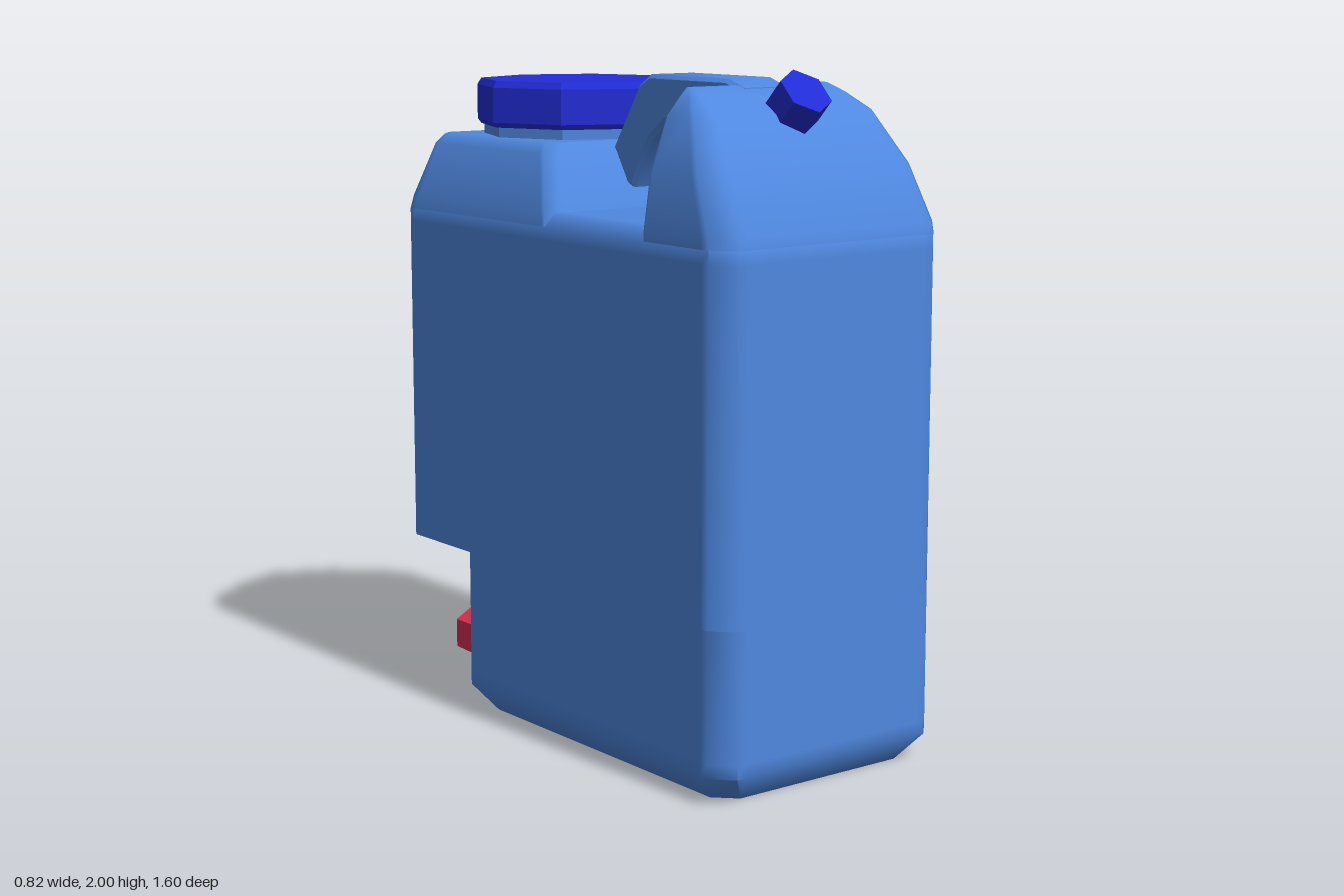
import * as THREE from 'three';
import { toCreasedNormals } from 'three/addons/utils/BufferGeometryUtils.js';

const mat = (name, color) => {
  const m = new THREE.MeshStandardMaterial({ color });
  m.name = name;
  return m;
};

// Cuts every corner of an [x, z, cut] outline, with a support point on each side
function chamfer(corners) {
  const out = [];
  corners.forEach(([x, z, c], i) => {
    const n = corners.length;
    const toward = (q, d) => {
      const l = Math.hypot(q[0] - x, q[1] - z);
      return [x + ((q[0] - x) / l) * d, z + ((q[1] - z) / l) * d];
    };
    const a = corners[(i + n - 1) % n], b = corners[(i + 1) % n];
    out.push(toward(a, c * 1.5), toward(a, c), toward(b, c), toward(b, c * 1.5));
  });
  return out;
}

// Rectangle from z0 (back) to z1 (front)
const rect = (w, z1, z0, cf, cb) =>
  chamfer([[w, z1, cf], [w, z0, cb], [-w, z0, cb], [-w, z1, cf]]);

// Joins horizontal outlines [y, points] and closes the ends
function loft(rows, capBottom, capTop) {
  const pos = [];
  const tri = (...v) => v.forEach((p) => pos.push(...p));
  const at = ([y, pts], i) => {
    const p = pts[i % pts.length];
    return [p[0], y, p[1]];
  };
  for (let r = 0; r < rows.length - 1; r++) {
    for (let i = 0; i < rows[r][1].length; i++) {
      const a = at(rows[r], i), b = at(rows[r], i + 1);
      const c = at(rows[r + 1], i + 1), d = at(rows[r + 1], i);
      tri(a, b, c);
      tri(a, c, d);
    }
  }
  const cap = (row, up) => {
    const flat = row[1].map((p) => new THREE.Vector2(p[0], p[1]));
    for (const [i, j, k] of THREE.ShapeUtils.triangulateShape(flat, [])) {
      const a = at(row, i), b = at(row, j), c = at(row, k);
      const ny = (b[2] - a[2]) * (c[0] - a[0]) - (b[0] - a[0]) * (c[2] - a[2]);
      if (ny > 0 === up) tri(a, b, c);
      else tri(a, c, b);
    }
  };
  if (capBottom) cap(rows[0], false);
  if (capTop) cap(rows[rows.length - 1], true);
  const g = new THREE.BufferGeometry();
  g.setAttribute('position', new THREE.Float32BufferAttribute(pos, 3));
  return toCreasedNormals(g, 1.0);
}

export function createModel() {
  const group = new THREE.Group();
  const blue = mat('body blue', 0x4f88e0);
  const navy = mat('cap blue', 0x222cd6);
  const brass = mat('pale brass', 0xd8dc8c);
  const red = mat('tap red', 0xd83050);
  const add = (name, geo, material, parent = group) => {
    const m = new THREE.Mesh(geo, material);
    m.name = name;
    parent.add(m);
    return m;
  };
  const faceted = (g) => toCreasedNormals(g, 0.3);

  // Lower tank, with one back corner cut out for the tap
  const plan = (d) => chamfer([
    [0.41 - d, 0.8 - d, 0.06], [0.41 - d, -0.8 + d, 0.06],
    [d, -0.8 + d, 0.02], [d, -0.45 + d, 0.02],
    [-0.41 + d, -0.45 + d, 0.02], [-0.41 + d, 0.8 - d, 0.06],
  ]);
  add('lowerTank', loft([
    [0, plan(0.09)], [0, plan(0.06)], [0.08, plan(0)], [0.12, plan(0)], [0.5, plan(0)],
  ], true, false), blue);

  // Upper tank, closed by the floor under the handle
  const full = (d) => rect(0.41 - d, 0.8 - d, -0.8 + d, 0.06, 0.06);
  add('upperTank', loft([
    [0.5, full(0)], [1.5, full(0)], [1.54, full(0)], [1.58, full(0.03)], [1.58, full(0.06)],
  ], true, true), blue);

  // Raised shoulder below the filler cap
  add('fillerShoulder', loft([
    [1.54, rect(0.41, 0.015, -0.8, 0.03, 0.06)],
    [1.58, rect(0.402, 0, -0.793, 0.03, 0.06)],
    [1.74, rect(0.335, -0.1, -0.748, 0.03, 0.04)],
    [1.77, rect(0.31, -0.125, -0.73, 0.03, 0.04)],
    [1.77, rect(0.28, -0.155, -0.70, 0.03, 0.04)],
  ], false, true), blue);

  // Sloping front peak
  add('frontPeak', loft([
    [1.54, rect(0.41, 0.8, 0.44, 0.06, 0.015)],
    [1.57, rect(0.409, 0.795, 0.44, 0.06, 0.015)],
    [1.73, rect(0.385, 0.71, 0.44, 0.05, 0.015)],
    [1.88, rect(0.325, 0.6, 0.44, 0.035, 0.012)],
    [1.93, rect(0.28, 0.52, 0.44, 0.02, 0.01)],
    [1.955, rect(0.25, 0.46, 0.44, 0.004, 0.004)],
  ], false, true), blue);

  // Carrying handle: side profile in (z, y), extruded across x
  const profile = new THREE.Shape([
    [0.47, 1.94], [0.41, 1.96], [0.06, 1.96], [0.01, 1.93], [-0.11, 1.75],
    [-0.12, 1.66], [-0.03, 1.65], [0.05, 1.79], [0.13, 1.85], [0.47, 1.86],
  ].map((p) => new THREE.Vector2(...p)));
  const handle = new THREE.ExtrudeGeometry(profile, {
    depth: 0.15, bevelEnabled: true, bevelThickness: 0.012, bevelSize: 0.012, bevelSegments: 1,
  });
  handle.translate(0, 0, -0.075).rotateY(-Math.PI / 2);
  add('handle', toCreasedNormals(handle, 0.6), blue);

  // Filler neck and its eight-sided cap
  add('fillerNeck', faceted(new THREE.CylinderGeometry(0.295, 0.295, 0.08, 8)), blue)
    .position.set(0.01, 1.785, -0.43);
  const capProfile = [[0, 1.8], [0.305, 1.8], [0.316, 1.815], [0.316, 1.92], [0.303, 1.94], [0, 1.94]];
  add('fillerCap', faceted(new THREE.LatheGeometry(
    capProfile.map((p) => new THREE.Vector2(...p)), 8)), navy).position.set(0.01, 0, -0.43);

  // Small tilted vent cap
  const vent = add('ventCap', faceted(new THREE.CylinderGeometry(0.08, 0.08, 0.18, 6)), navy);
  vent.rotation.x = Math.PI / 4;
  vent.position.set(0.01, 1.881, 0.581);

  // Tap in the cut-out corner, pointing backwards
  const tap = new THREE.Group();
  tap.name = 'tap';
  tap.position.set(-0.24, 0.18, -0.45);
  group.add(tap);
  const along = (name, r, z0, z1, material) => {
    const g = new THREE.CylinderGeometry(r, r, z1 - z0, 6).rotateX(Math.PI / 2);
    add(name, faceted(g), material, tap).position.z = -(z0 + z1) / 2;
  };
  along('wallNut', 0.1, -0.01, 0.045, brass);
  along('tapStem', 0.06, 0.04, 0.13, brass);
  along('tapCollar', 0.088, 0.12, 0.205, red);
  along('tapEnd', 0.074, 0.2, 0.213, brass);
  const spout = add('tapSpout', faceted(new THREE.CylinderGeometry(0.05, 0.055, 0.14, 6)), brass, tap);
  spout.position.set(0, -0.075, -0.13);

  return group;
}
